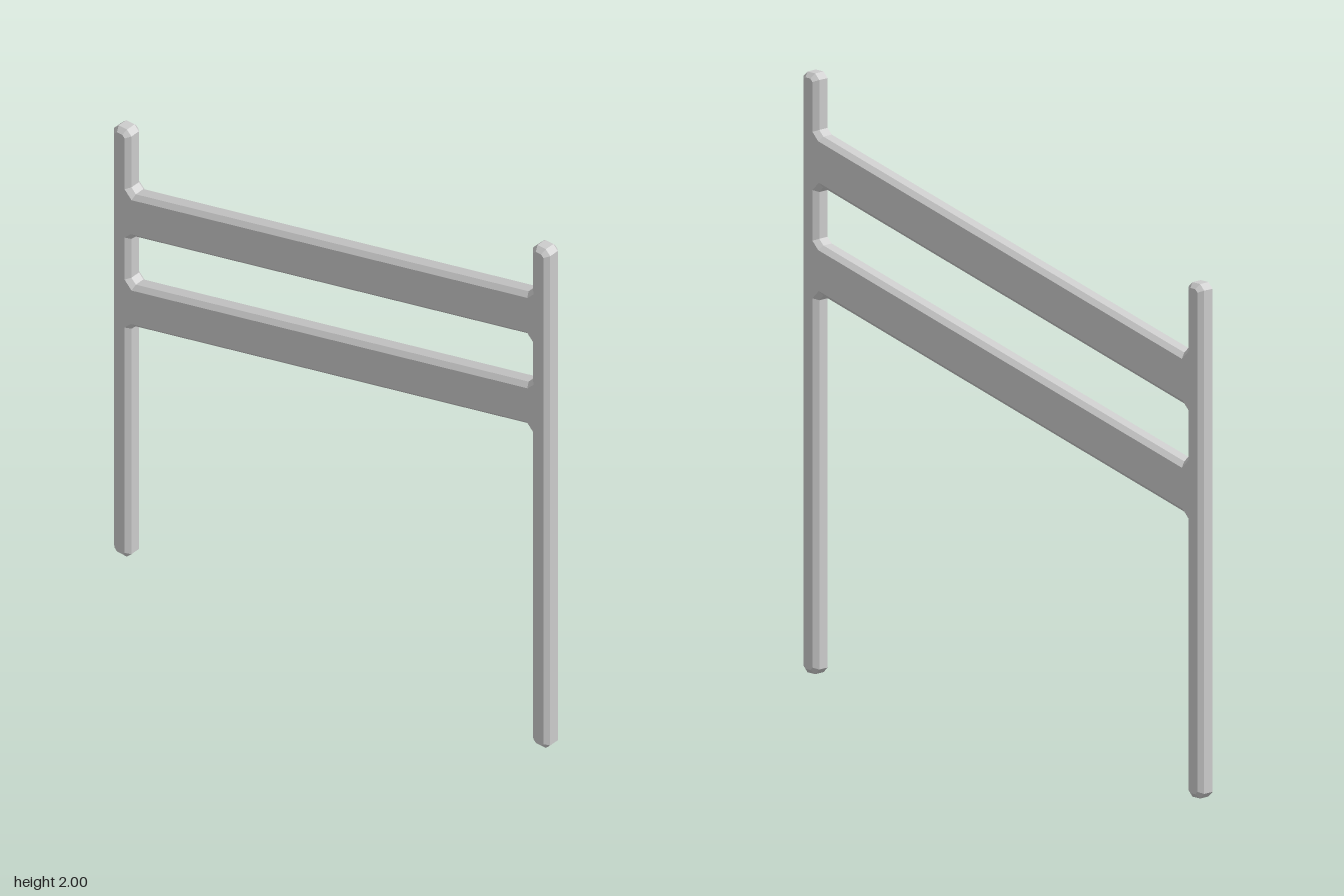
import * as THREE from 'three';

const OUT = 0.887;    // outer face of the posts
const IN = 0.817;     // inner face of the posts
const C = 0.018;      // corner cut at post ends and joints
const BEVEL = 0.015;  // chamfer along every edge
const HALF = 0.033;   // half thickness
const SLOPE = 0.248;

// Corner cuts where a sloping rail edge (height y at x = 0) meets the inner post faces;
// dir is +1 for an upper rail edge, -1 for a lower one.
const leftJoint = (y, dir) => {
  const x = -IN + C, h = y - SLOPE * -x;
  return [[-IN, h + dir * C], [x, h]];
};
const rightJoint = (y, dir) => {
  const x = IN - C, h = y + SLOPE * x;
  return [[x, h], [IN, h + dir * C]];
};
// Cut ends of a post, listed counter-clockwise
const postTop = (x0, x1, y) => [[x1, y - C], [x1 - C, y], [x0 + C, y], [x0, y - C]];
const postFoot = (x0, x1, y) => [[x0, y + C], [x0 + C, y], [x1 - C, y], [x1, y + C]];
const toPoints = list => list.map(([x, y]) => new THREE.Vector2(x, y));

export function createModel() {
  const group = new THREE.Group();
  group.name = 'stairRailing';

  // Upper and lower edges of the two rails at x = 0
  const upper = { top: 1.607, bottom: 1.445 };
  const lower = { top: 1.26, bottom: 1.1 };

  // Outer outline of the two posts and two rails as one joined body
  const shape = new THREE.Shape(toPoints([
    ...postFoot(-OUT, -IN, 0),
    ...leftJoint(lower.bottom, -1),
    ...rightJoint(lower.bottom, -1),
    ...postFoot(IN, OUT, 0.085),
    ...postTop(IN, OUT, 2),
    ...rightJoint(upper.top, 1).reverse(),
    ...leftJoint(upper.top, 1).reverse(),
    ...postTop(-OUT, -IN, 1.64),
  ]));

  // Opening between the rails
  shape.holes.push(new THREE.Path(toPoints([
    ...leftJoint(upper.bottom, -1),
    ...rightJoint(upper.bottom, -1),
    ...rightJoint(lower.top, 1).reverse(),
    ...leftJoint(lower.top, 1).reverse(),
  ])));

  const depth = 2 * (HALF - BEVEL);
  const geometry = new THREE.ExtrudeGeometry(shape, {
    depth,
    bevelEnabled: true,
    bevelSegments: 1,
    bevelThickness: BEVEL,
    bevelSize: BEVEL,
    bevelOffset: -BEVEL,
  });
  geometry.translate(0, 0, -depth / 2);

  const frame = new THREE.Mesh(
    geometry,
    new THREE.MeshStandardMaterial({ color: 0xcccccc, flatShading: true }),
  );
  frame.name = 'postsAndRails';
  group.add(frame);
  return group;
}
